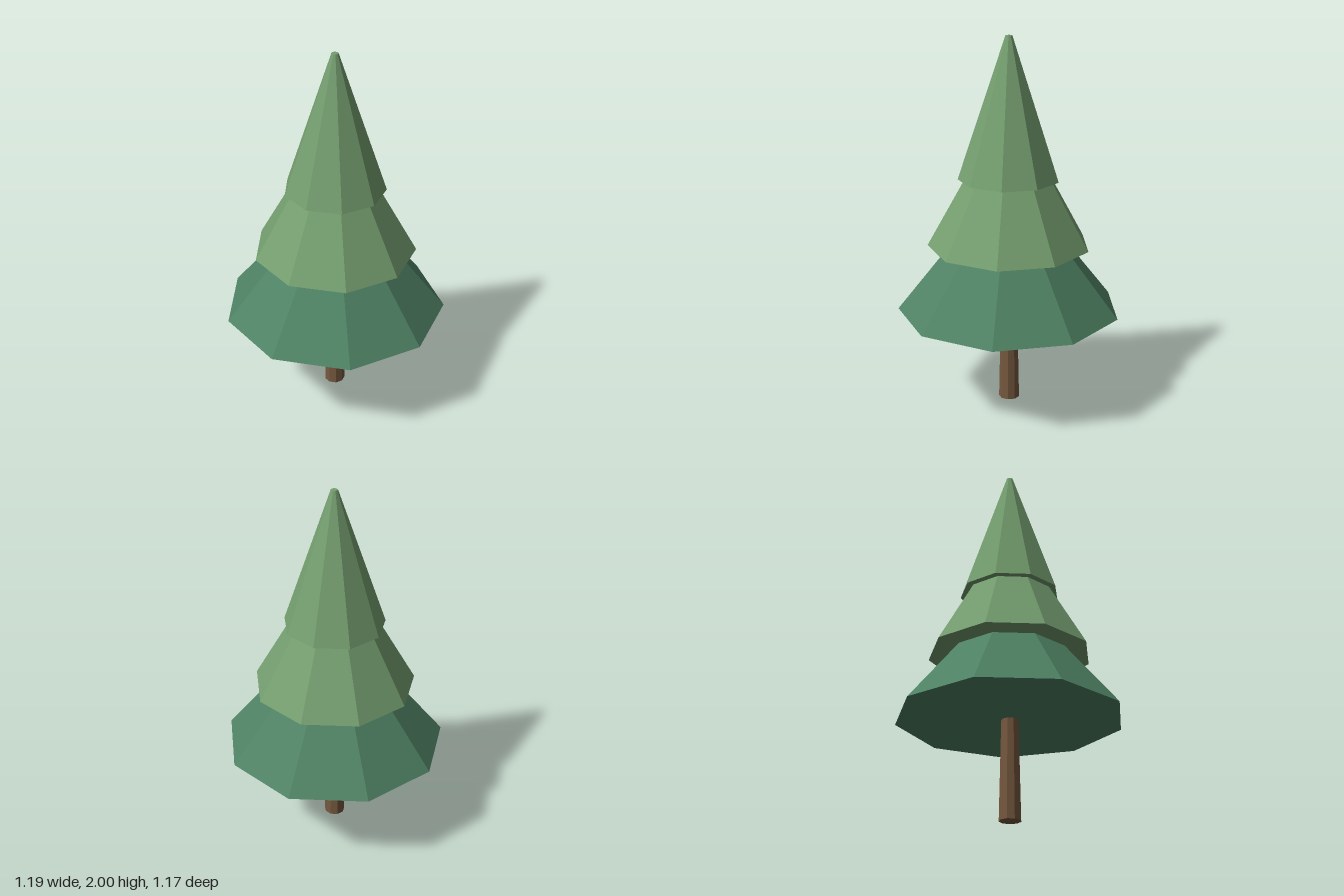
import * as THREE from 'three';

export function createModel() {
  const tree = new THREE.Group();
  tree.name = 'pineTree';

  const material = (name, color) => {
    const m = new THREE.MeshStandardMaterial({ color, flatShading: true });
    m.name = name;
    return m;
  };
  const bark = material('bark brown', 0x75583e);
  const darkGreen = material('dark green', 0x4f8264);
  const lightGreen = material('light green', 0x759f70);

  // Nine-sided tapered section with one corner pointing straight back
  const addSection = (name, mat, y0, y1, r0, r1) => {
    const geometry = new THREE.CylinderGeometry(r1, r0, y1 - y0, 9, 1, false, Math.PI);
    const mesh = new THREE.Mesh(geometry, mat);
    mesh.name = name;
    mesh.position.set(0, (y0 + y1) / 2, 0.016);
    tree.add(mesh);
  };

  addSection('trunk', bark, 0, 0.6, 0.057, 0.044);

  // Foliage tiers, each ending just inside the one above
  addSection('lowerFoliage', darkGreen, 0.53, 0.93, 0.602, 0.283);
  addSection('middleFoliage', lightGreen, 0.89, 1.29, 0.436, 0.212);
  addSection('upperFoliage', lightGreen, 1.252, 2, 0.27, 0.018);

  return tree;
}
